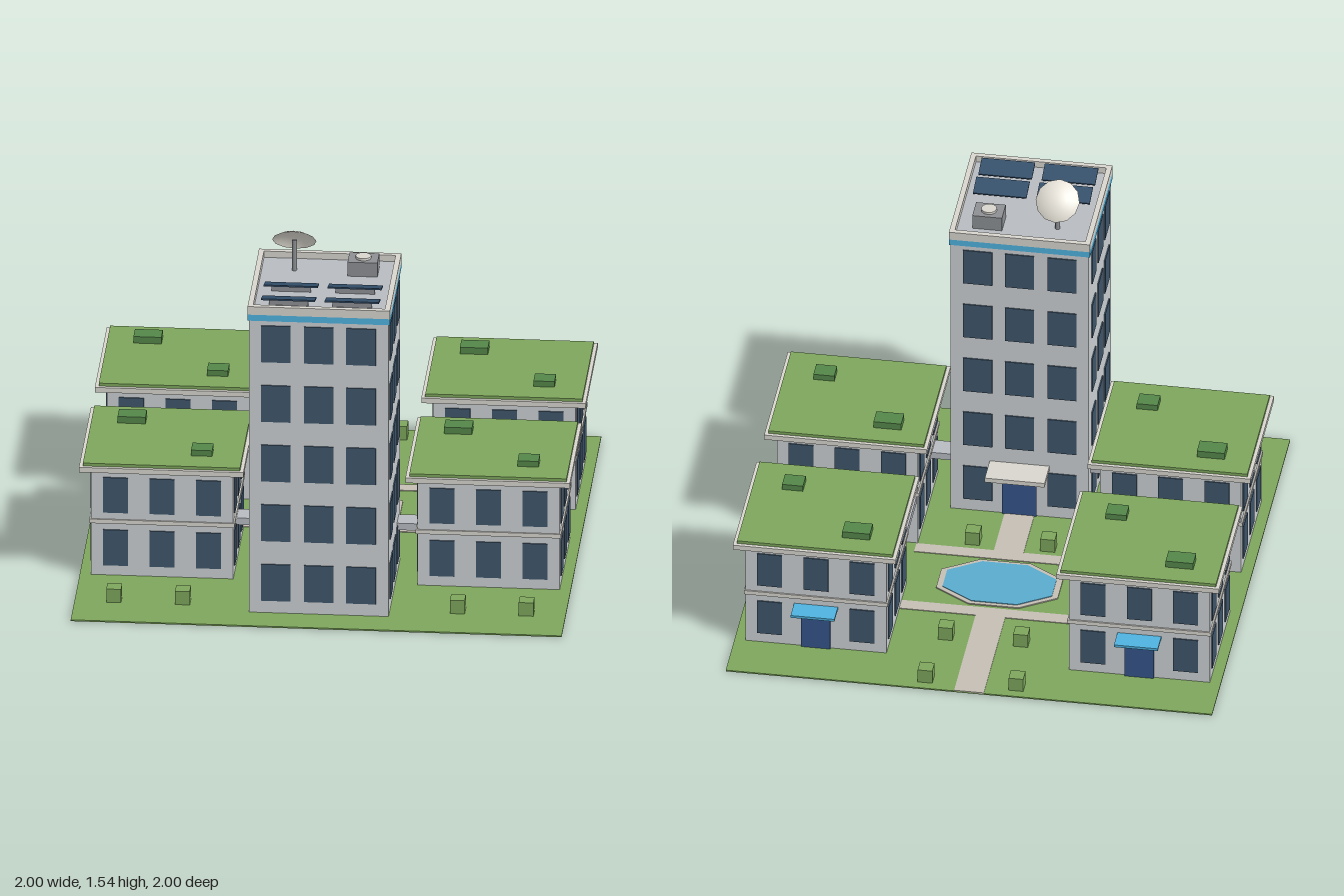
import * as THREE from 'three';

const mat = (color, double) => new THREE.MeshStandardMaterial({ color, side: double ? THREE.DoubleSide : THREE.FrontSide });
const M = {
  wall: mat(0xcdd1d4), trim: mat(0xd8d6cf), glass: mat(0x3f566b), grass: mat(0x7da65c),
  planter: mat(0x55874a), blue: mat(0x4fb3e0), path: mat(0xc5bfb4), water: mat(0x5aabcf),
  deck: mat(0xb8bcc2), metal: mat(0x8d9094), panel: mat(0x34506c), door: mat(0x35558a),
  dish: mat(0xe8e4da, true),
};

// Box given by its min/max extents on each axis
function box(parent, name, material, x0, x1, y0, y1, z0, z1) {
  const m = new THREE.Mesh(new THREE.BoxGeometry(x1 - x0, y1 - y0, z1 - z0), material);
  m.position.set((x0 + x1) / 2, (y0 + y1) / 2, (z0 + z1) / 2);
  m.name = name;
  parent.add(m);
  return m;
}

// Thin panes on all four sides of a block centred on the parent's origin;
// columns are [offset, width] pairs and rows are [bottom, top] pairs
function windows(parent, hx, hz, colsX, colsZ, rows) {
  const t = 0.005;
  for (const [y0, y1] of rows) for (const s of [-1, 1]) {
    for (const [c, w] of colsX)
      box(parent, 'window', M.glass, c - w / 2, c + w / 2, y0, y1, s * hz - t, s * hz + t);
    for (const [c, w] of colsZ)
      box(parent, 'window', M.glass, s * hx - t, s * hx + t, y0, y1, c - w / 2, c + w / 2);
  }
}

function lowBuilding(x, z, hasEntrance) {
  const g = new THREE.Group();
  g.name = 'lowBuilding';
  g.position.set(x, 0, z);
  const hx = 0.29, hz = 0.257;
  box(g, 'walls', M.wall, -hx, hx, 0.003, 0.48, -hz, hz);
  box(g, 'floorBand', M.trim, -hx - 0.006, hx + 0.006, 0.236, 0.254, -hz - 0.006, hz + 0.006);
  box(g, 'roofSlab', M.trim, -hx - 0.045, hx + 0.045, 0.478, 0.5, -hz - 0.046, hz + 0.046);
  box(g, 'greenRoof', M.grass, -hx - 0.03, hx + 0.03, 0.5, 0.513, -hz - 0.031, hz + 0.031);
  box(g, 'roofPlanter', M.planter, -0.212, -0.098, 0.513, 0.542, -0.198, -0.122);
  box(g, 'roofPlanter', M.planter, 0.112, 0.198, 0.513, 0.538, 0.105, 0.18);
  windows(g, hx, hz, [-0.19, 0, 0.19].map(c => [c, 0.102]), [-0.17, 0, 0.17].map(c => [c, 0.102]),
    [[0.05, 0.208], [0.284, 0.44]]);
  if (hasEntrance) {
    box(g, 'door', M.door, -0.06, 0.06, 0.006, 0.19, -hz - 0.009, -hz);
    box(g, 'doorCanopy', M.blue, -0.09, 0.09, 0.199, 0.21, -hz - 0.09, -hz);
  }
  return g;
}

function tower() {
  const g = new THREE.Group();
  g.name = 'tower';
  g.position.z = 0.58;
  const h = 0.284, p = 0.29;
  box(g, 'walls', M.wall, -h, h, 0.003, 1.335, -h, h);
  box(g, 'accentBand', M.blue, -p, p, 1.302, 1.33, -p + 0.003, p - 0.003);
  box(g, 'roofDeck', M.deck, -h, h, 1.33, 1.338, -h, h);
  for (const s of [-1, 1]) {
    const [a, b] = s < 0 ? [-p, -p + 0.022] : [p - 0.022, p];
    box(g, 'parapet', M.trim, a, b, 1.33, 1.366, -p + 0.004, p - 0.004);
    box(g, 'parapet', M.trim, -p, p, 1.33, 1.366, a, b);
  }
  const rows = [0, 1, 2, 3, 4].map(i => [0.06 + i * 0.265, 0.222 + i * 0.265]);
  windows(g, h, h, [-0.175, 0, 0.172].map(c => [c, 0.12]),
    [[0.17, 0.118], [0, 0.118], [-0.165, 0.092]], rows);

  // Back entrance
  box(g, 'door', M.door, -0.07, 0.07, 0.006, 0.2, -h - 0.008, -h);
  box(g, 'entranceCanopy', M.trim, -0.123, 0.123, 0.235, 0.255, -0.41, -h);

  // Tilted solar panels
  for (const x of [-0.13, 0.13]) for (const z of [0.06, 0.198]) {
    const s = box(g, 'solarPanel', M.panel, x - 0.11, x + 0.11, 1.363, 1.369, z - 0.044, z + 0.044);
    s.rotation.x = -0.26;
    box(g, 'panelStand', M.metal, x - 0.08, x + 0.08, 1.338, 1.36, z - 0.005, z + 0.005);
  }

  // Cooling unit with a round fan
  box(g, 'coolingUnit', M.metal, 0.085, 0.207, 1.338, 1.4, -0.206, -0.108);
  const fan = new THREE.Mesh(new THREE.CylinderGeometry(0.032, 0.032, 0.012, 12), M.trim);
  fan.name = 'coolingFan';
  fan.position.set(0.146, 1.404, -0.157);
  g.add(fan);

  // Satellite dish: shallow cap on a mast
  const mast = new THREE.Mesh(new THREE.CylinderGeometry(0.01, 0.01, 0.135, 8), M.metal);
  mast.name = 'dishMast';
  mast.position.set(-0.135, 1.405, -0.152);
  g.add(mast);
  const cap = new THREE.SphereGeometry(0.15, 12, 5, 0, Math.PI * 2, 0, 0.645);
  cap.translate(0, -0.12, 0);
  const dish = new THREE.Mesh(cap, M.dish);
  dish.name = 'dish';
  dish.position.set(-0.135, 1.471, -0.15);
  dish.rotation.x = -0.8;
  g.add(dish);
  return g;
}

function grounds() {
  const g = new THREE.Group();
  g.name = 'grounds';
  box(g, 'lawn', M.grass, -1, 1, 0, 0.006, -1, 1);
  box(g, 'path', M.path, -0.061, 0.061, 0.003, 0.009, -1, -0.45);
  box(g, 'path', M.path, -0.38, 0.38, 0.003, 0.009, -0.452, -0.392);
  box(g, 'path', M.path, -0.38, 0.38, 0.003, 0.009, -0.04, 0.02);
  box(g, 'path', M.path, -0.061, 0.061, 0.003, 0.009, 0.02, 0.3);

  // Stretched octagonal pond
  const octagon = (name, m, hx, hz, top) => {
    const geo = new THREE.CylinderGeometry(1, 1, 1, 8, 1, false, Math.PI / 8);
    const o = new THREE.Mesh(geo, m), k = Math.cos(Math.PI / 8);
    o.scale.set(hx / k, top - 0.003, hz / k);
    o.position.set(0, (top + 0.003) / 2, -0.216);
    o.name = name;
    g.add(o);
  };
  octagon('pondRim', M.path, 0.25, 0.16, 0.011);
  octagon('pondWater', M.water, 0.225, 0.143, 0.014);

  // Clipped shrubs
  for (const [x, z] of [[0.187, -0.93], [0.155, -0.615], [0.155, 0.077], [0.84, 0.784], [0.56, 0.784]])
    for (const s of [-1, 1])
      box(g, 'shrub', M.grass, s * x - 0.03, s * x + 0.03, 0.005, 0.065, z - 0.03, z + 0.03);
  return g;
}

export function createModel() {
  const model = new THREE.Group();
  model.name = 'campus';
  model.add(grounds(), tower());
  for (const s of [-1, 1]) {
    model.add(lowBuilding(s * 0.665, 0.283, false), lowBuilding(s * 0.665, -0.518, true));
    // Raised walkways linking the buildings
    const x = s * 0.463;
    box(model, 'walkway', M.deck, x - 0.083, x + 0.083, 0.203, 0.233, -0.262, 0.028);
    box(model, 'walkwayPillar', M.trim, x - 0.015, x + 0.015, 0.004, 0.203, -0.131, -0.101);
    const t = s * 0.33;
    box(model, 'towerWalkway', M.deck, t - 0.047, t + 0.047, 0.203, 0.233, 0.35, 0.44);
  }
  return model;
}
